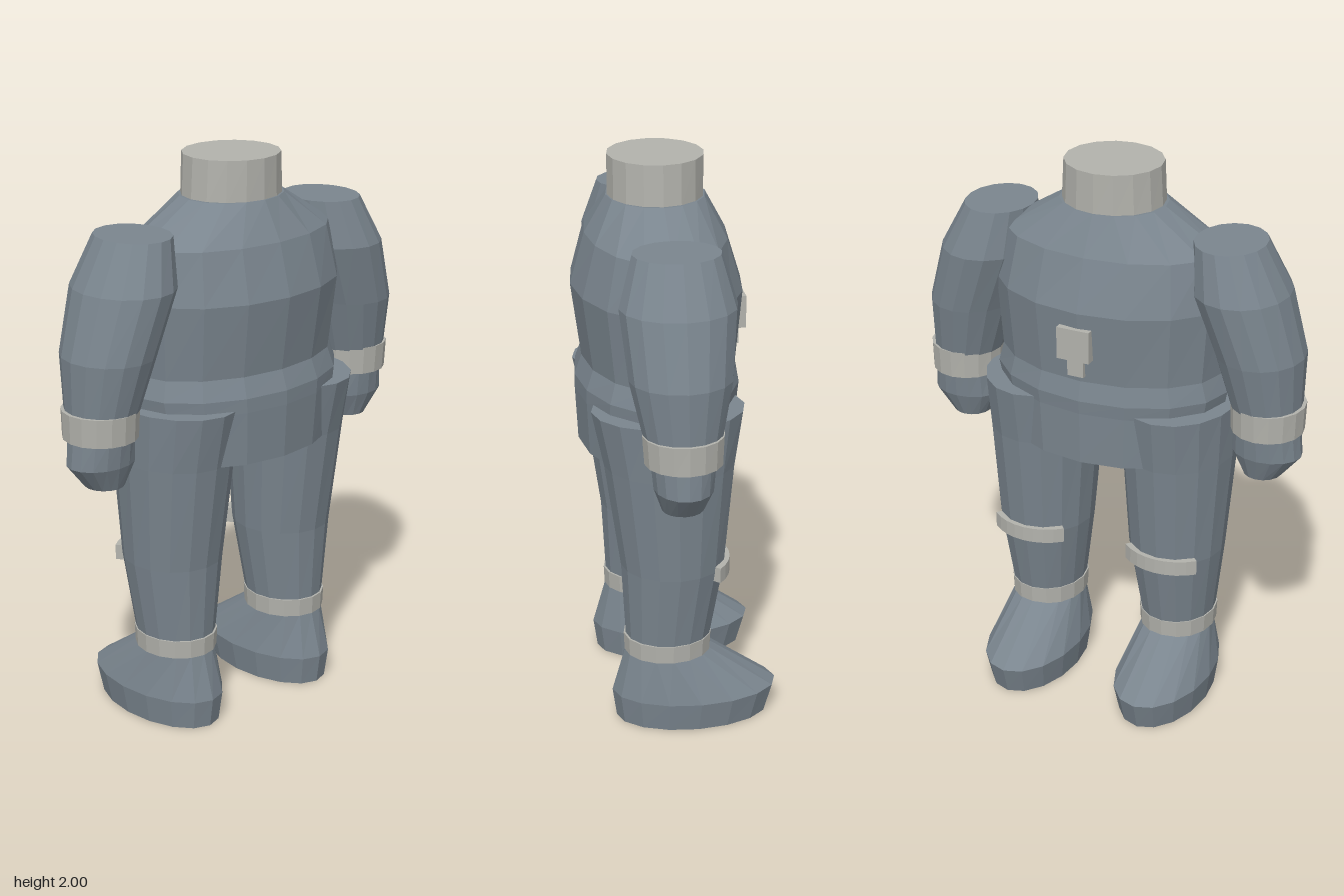
import * as THREE from 'three';

const SIDES = 16;

// Closed faceted body through elliptical rings, listed from bottom to top:
// [y, centre x, half width, back z, front z]
function loft(rings, side = 1) {
  const pos = [];
  const point = ([y, cx, rx, z0, z1], i) => {
    const a = (i / SIDES) * Math.PI * 2;
    return [side * cx + rx * Math.sin(a), y, (z0 + z1) / 2 + ((z1 - z0) / 2) * Math.cos(a)];
  };
  const centre = ([y, cx, , z0, z1]) => [side * cx, y, (z0 + z1) / 2];
  const tri = (a, b, c) => pos.push(...a, ...b, ...c);
  const first = rings[0], last = rings[rings.length - 1];
  for (let i = 0; i < SIDES; i++) {
    for (let r = 0; r < rings.length - 1; r++) {
      const a = point(rings[r], i), b = point(rings[r], i + 1);
      const c = point(rings[r + 1], i + 1), d = point(rings[r + 1], i);
      tri(a, b, c);
      tri(a, c, d);
    }
    tri(centre(last), point(last, i), point(last, i + 1));
    tri(centre(first), point(first, i + 1), point(first, i));
  }
  const geo = new THREE.BufferGeometry();
  geo.setAttribute('position', new THREE.Float32BufferAttribute(pos, 3));
  geo.computeVertexNormals();
  return geo;
}

// Curved strap covering an arc on the -z side
function strapGeometry(inner, outer, height, halfAngle) {
  const shape = new THREE.Shape();
  const a0 = Math.PI / 2 - halfAngle, a1 = Math.PI / 2 + halfAngle;
  shape.absarc(0, 0, outer, a0, a1, false);
  shape.absarc(0, 0, inner, a1, a0, true);
  const geo = new THREE.ExtrudeGeometry(shape, { depth: height, bevelEnabled: false, curveSegments: 4 });
  return geo.rotateX(-Math.PI / 2);
}

export function createModel() {
  const suit = new THREE.MeshStandardMaterial({ color: 0x7a858e });
  suit.name = 'slate suit';
  const trim = new THREE.MeshStandardMaterial({ color: 0xb2b2ac });
  trim.name = 'pale grey trim';

  const model = new THREE.Group();
  model.name = 'suit';
  const add = (name, geo, mat, parent = model) => {
    const mesh = new THREE.Mesh(geo, mat);
    mesh.name = name;
    parent.add(mesh);
    return mesh;
  };

  // Torso with belt bulge and hip section
  add('torso', loft([
    [0.98, 0, 0.40, -0.225, 0.325],
    [1.17, 0, 0.42, -0.23, 0.335],
    [1.22, 0, 0.43, -0.235, 0.335],
    [1.29, 0, 0.41, -0.22, 0.31],
    [1.55, 0, 0.43, -0.245, 0.345],
    [1.73, 0, 0.40, -0.19, 0.295],
    [1.86, 0, 0.19, -0.12, 0.22],
  ]), suit);
  add('neckRing', loft([
    [1.85, 0, 0.18, -0.115, 0.215],
    [2.0, 0, 0.172, -0.115, 0.215],
  ]), trim);

  // Small pack on the -z face
  add('packBox', new THREE.BoxGeometry(0.12, 0.115, 0.06), trim).position.set(0.01, 1.437, -0.226);
  add('packTab', new THREE.BoxGeometry(0.06, 0.07, 0.05), trim).position.set(0.01, 1.348, -0.211);

  for (const side of [1, -1]) {
    const label = side > 0 ? 'left' : 'right';

    // Arm, cuff and closed hand
    const arm = new THREE.Group();
    arm.name = label + 'Arm';
    model.add(arm);
    add('sleeve', loft([
      [1.2, 0.577, 0.122, -0.08, 0.18],
      [1.4, 0.547, 0.155, -0.12, 0.225],
      [1.62, 0.475, 0.167, -0.145, 0.245],
      [1.785, 0.43, 0.122, -0.1, 0.195],
    ], side), suit, arm);
    add('cuff', loft([
      [1.12, 0.582, 0.127, -0.082, 0.18],
      [1.22, 0.582, 0.13, -0.086, 0.187],
    ], side), trim, arm);
    add('hand', loft([
      [0.945, 0.57, 0.068, -0.02, 0.12],
      [1.03, 0.583, 0.125, -0.05, 0.15],
      [1.13, 0.58, 0.118, -0.06, 0.16],
    ], side), suit, arm);

    // Leg, ankle band, boot and calf strap
    const leg = new THREE.Group();
    leg.name = label + 'Leg';
    model.add(leg);
    add('trouser', loft([
      [0.32, 0.262, 0.133, -0.1, 0.2],
      [0.6, 0.26, 0.171, -0.15, 0.215],
      [0.98, 0.26, 0.198, -0.185, 0.27],
      [1.18, 0.262, 0.205, -0.215, 0.312],
    ], side), suit, leg);
    add('ankleBand', loft([
      [0.265, 0.262, 0.136, -0.102, 0.205],
      [0.33, 0.262, 0.139, -0.105, 0.208],
    ], side), trim, leg);
    add('boot', loft([
      [0, 0.262, 0.152, -0.31, 0.235],
      [0.105, 0.262, 0.168, -0.34, 0.25],
      [0.27, 0.262, 0.124, -0.1, 0.203],
    ], side), suit, leg);
    add('calfStrap', strapGeometry(0.172, 0.202, 0.055, 0.75), trim, leg)
      .position.set(side * 0.26, 0.567, 0.035);
  }
  return model;
}
